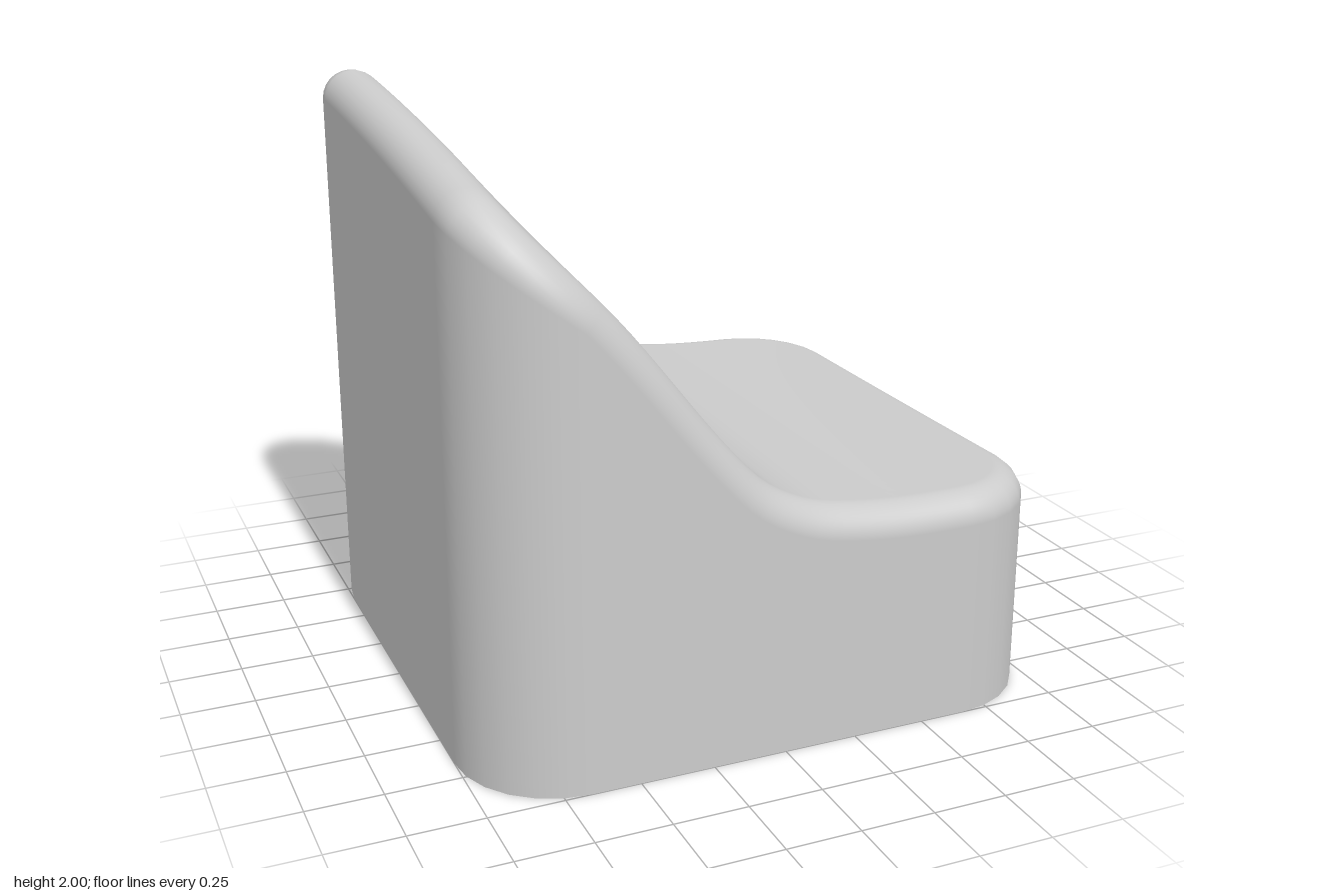
import * as THREE from 'three';

const R = 0.1;          // radius of the rolled top edge
const CORNER = 0.34;    // plan corner radius
const FILLET = 10, RINGS = 36;

// Height profile across x, at the front and at the back (lying R under the skin)
const PX = [-0.9, -0.6, -0.28, -0.12, 0.03, 0.18, 0.45, 0.9];
const FRONT = [1.75, 1.42, 1.01, 0.835, 0.745, 0.7, 0.672, 0.672];
const BACK = [1.9, 1.48, 1.03, 0.84, 0.75, 0.7, 0.667, 0.655];

// Smooth cubic through the profile points
function profile(ys, x) {
  const n = PX.length;
  let k = 0;
  while (k < n - 2 && x > PX[k + 1]) k++;
  const slope = (i) => {
    const a = Math.max(i - 1, 0), b = Math.min(i + 1, n - 1);
    return (ys[b] - ys[a]) / (PX[b] - PX[a]);
  };
  const w = PX[k + 1] - PX[k], t = (x - PX[k]) / w, t2 = t * t, t3 = t2 * t;
  return (2 * t3 - 3 * t2 + 1) * ys[k] + (t3 - 2 * t2 + t) * w * slope(k)
    + (3 * t2 - 2 * t3) * ys[k + 1] + (t3 - t2) * w * slope(k + 1);
}

// The backrest rises towards the back along a gentle curve
function height(x, z) {
  const s = (0.7 - z) / 1.35;
  return THREE.MathUtils.lerp(profile(FRONT, x), profile(BACK, x), 1.4 * s - 0.4 * s * s);
}

function topNormal(x, z) {
  const e = 0.004;
  return new THREE.Vector3(
    (height(x - e, z) - height(x + e, z)) / (2 * e), 1,
    (height(x, z - e) - height(x, z + e)) / (2 * e)).normalize();
}

// Rounded square outline, inset by R, with outward directions
function outline() {
  const half = 1 - CORNER, r = CORNER - R, arc = 6, straight = 28, pts = [];
  for (let k = 0; k < 4; k++) {
    const mid = (k + 0.5) * Math.PI / 2;
    const cx = Math.sign(Math.cos(mid)) * half, cz = Math.sign(Math.sin(mid)) * half;
    for (let i = 0; i <= arc; i++) {
      const a = (k + i / arc) * Math.PI / 2;
      const out = new THREE.Vector3(Math.cos(a), 0, Math.sin(a));
      pts.push({ x: cx + r * out.x, z: cz + r * out.z, out });
    }
    // straight side leading to the next corner
    const p = pts[pts.length - 1];
    for (let i = 1; i < straight; i++) {
      const d = 2 * half * i / straight;
      pts.push({ x: p.x - p.out.z * d, z: p.z + p.out.x * d, out: p.out });
    }
  }
  pts.push(pts[0]);
  return pts;
}

// Walls, rolled edge and curved top as one skin of stacked rings
function bodyGeometry(loop) {
  const pos = [], nor = [], index = [];
  const put = (x, y, z, n) => {
    pos.push(x + R * n.x, y + R * n.y, z + R * n.z);
    nor.push(n.x, n.y, n.z);
  };
  for (const p of loop) put(p.x, 0, p.z, p.out);
  for (let i = 0; i <= FILLET; i++) {
    for (const p of loop) {
      const up = topNormal(p.x, p.z), ang = p.out.angleTo(up), t = i / FILLET;
      const n = p.out.clone().multiplyScalar(Math.sin((1 - t) * ang))
        .addScaledVector(up, Math.sin(t * ang)).normalize();
      put(p.x, height(p.x, p.z), p.z, n);
    }
  }
  for (let i = 1; i <= RINGS; i++) {
    const s = 1 - i / RINGS;
    for (const p of loop) {
      const x = p.x * s, z = p.z * s;
      put(x, height(x, z), z, topNormal(x, z));
    }
  }
  const n = loop.length, rows = pos.length / 3 / n;
  for (let i = 0; i < rows - 1; i++) {
    for (let j = 0; j < n - 1; j++) {
      const a = i * n + j, b = a + 1, c = b + n, d = a + n;
      index.push(a, d, c, a, c, b);
    }
  }
  const geo = new THREE.BufferGeometry();
  geo.setAttribute('position', new THREE.Float32BufferAttribute(pos, 3));
  geo.setAttribute('normal', new THREE.Float32BufferAttribute(nor, 3));
  geo.setIndex(index);
  return geo;
}

export function createModel() {
  const group = new THREE.Group();
  group.name = 'sculptedBlock';
  const material = new THREE.MeshStandardMaterial({ color: 0xcccccc });
  const loop = outline();

  const body = new THREE.Mesh(bodyGeometry(loop), material);
  body.name = 'body';

  // Flat underside
  const shape = new THREE.Shape(loop.slice(0, -1).map(
    (p) => new THREE.Vector2(p.x + R * p.out.x, p.z + R * p.out.z)));
  const base = new THREE.Mesh(new THREE.ShapeGeometry(shape).rotateX(Math.PI / 2), material);
  base.name = 'underside';

  group.add(body, base);
  return group;
}
